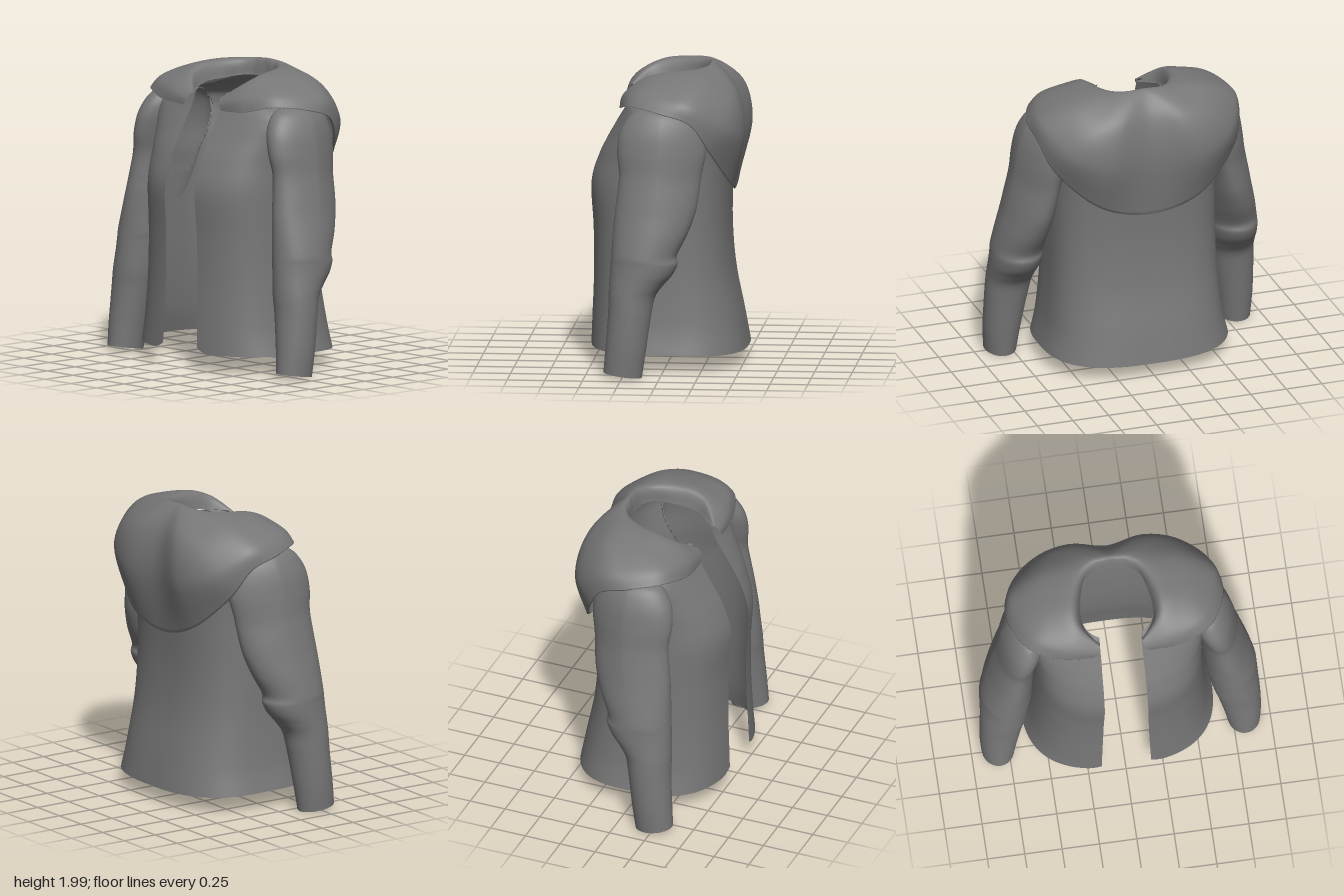
import * as THREE from 'three';
import { mergeVertices } from 'three/addons/utils/BufferGeometryUtils.js';

// Smooth interpolation through rows of numbers, t from 0 to 1
function spline(rows, t) {
  const f = t * (rows.length - 1);
  const i = Math.min(Math.floor(f), rows.length - 2), k = f - i;
  const at = (n) => rows[Math.min(Math.max(n, 0), rows.length - 1)];
  const [a, b, c, d] = [at(i - 1), at(i), at(i + 1), at(i + 2)];
  return b.map((p, n) => p + 0.5 * k * (c[n] - a[n]
    + k * (2 * a[n] - 5 * p + 4 * c[n] - d[n] + k * (3 * (p - c[n]) + d[n] - a[n]))));
}

// Section of a table at a given height
function sectionAt(rows, y) {
  let lo = 0, hi = 1;
  for (let n = 0; n < 14; n++) {
    const mid = (lo + hi) / 2;
    if (spline(rows, mid)[0] < y) lo = mid; else hi = mid;
  }
  return spline(rows, lo);
}

// Smooth sheet from a rule point(u, v); faces whose centre is hidden are left out
function sheet(nu, nv, point, flip = false, hidden = () => false) {
  const pts = [], idx = [];
  for (let j = 0; j <= nv; j++)
    for (let i = 0; i <= nu; i++) pts.push(point(i / nu, j / nv));
  for (let j = 0; j < nv; j++)
    for (let i = 0; i < nu; i++) {
      const a = j * (nu + 1) + i, b = a + 1, c = a + nu + 1, d = c + 1;
      if (hidden(...[0, 1, 2].map((n) => (pts[a][n] + pts[d][n]) / 2))) continue;
      idx.push(...(flip ? [a, c, b, b, c, d] : [a, b, c, b, d, c]));
    }
  let g = new THREE.BufferGeometry();
  g.setAttribute('position', new THREE.Float32BufferAttribute(pts.flat(), 3));
  g.setIndex(idx);
  g = mergeVertices(g, 1e-5);
  g.computeVertexNormals();
  return g;
}

// Body sections: height, half width, front z, back z, half gap at the front
const BODY = [
  [0.12, 0.64, 0.52, -0.52, 0.165],
  [0.3, 0.602, 0.515, -0.485, 0.162],
  [0.6, 0.575, 0.505, -0.425, 0.155],
  [0.9, 0.565, 0.508, -0.4, 0.15],
  [1.2, 0.562, 0.522, -0.405, 0.145],
  [1.4, 0.565, 0.465, -0.42, 0.143],
  [1.55, 0.59, 0.385, -0.42, 0.142],
  [1.65, 0.61, 0.325, -0.41, 0.14],
  [1.72, 0.59, 0.285, -0.39, 0.14],
  [1.78, 0.47, 0.26, -0.35, 0.14],
  [1.82, 0.3, 0.25, -0.28, 0.14],
  [1.835, 0.245, 0.24, -0.245, 0.14],
];
const ROUND = 0.74;                                // below 1 is squarer than an ellipse

function bodyPoint(u, v) {
  const [y, w, zf, zb, gap] = spline(BODY, v);
  const start = Math.asin(Math.pow(gap / w, 1 / ROUND));
  const q = 1 - Math.abs(2 * u - 1);               // 0 at the opening, 1 at centre back
  const a = start + (Math.PI - start) * q;
  const s = Math.max(Math.sin(a), 0), c = Math.cos(a);
  const x = w * Math.pow(s, ROUND) * (u < 0.5 ? -1 : 1);
  const z = Math.pow(Math.abs(c), ROUND) * (c > 0 ? zf : zb);
  const hem = Math.max(0, 1 - v * 8), neck = Math.max(0, (v - 0.75) * 4);
  const back = Math.max(0, -c);
  const corner = 0.035 * Math.pow(Math.max(0, 1 - q / 0.05), 2);
  return [x, y + hem * (corner - 0.02 * back) + 0.04 * neck * back, z];
}

function insideBody(x, y, z) {
  if (y < 1.2 || y > 1.83) return false;
  const [, w, zf, zb] = sectionAt(BODY, y), n = 2 / ROUND;
  return Math.pow(Math.abs(x) / w, n) + Math.pow(z / (z > 0 ? zf : zb), n) < 0.96;
}

// Sleeve sections: height, inner x, outer x, back z, front z
const SLEEVE = [
  [0.022, 0.715, 0.93, 0.12, 0.375],
  [0.2, 0.69, 0.94, 0.092, 0.362],
  [0.42, 0.652, 0.938, 0.06, 0.347],
  [0.54, 0.628, 0.933, 0.035, 0.345],
  [0.62, 0.612, 0.93, -0.02, 0.342],
  [0.69, 0.598, 0.928, -0.08, 0.338],
  [0.76, 0.588, 0.925, -0.112, 0.334],
  [0.82, 0.58, 0.92, -0.108, 0.33],
  [0.95, 0.57, 0.895, -0.172, 0.322],
  [1.08, 0.562, 0.865, -0.22, 0.312],
  [1.18, 0.558, 0.845, -0.24, 0.3],
  [1.34, 0.55, 0.812, -0.26, 0.285],
  [1.48, 0.52, 0.793, -0.285, 0.3],
  [1.6, 0.49, 0.77, -0.28, 0.29],
  [1.69, 0.48, 0.735, -0.25, 0.25],
  [1.75, 0.5, 0.69, -0.18, 0.19],
  [1.79, 0.54, 0.62, -0.06, 0.08],
];
// The back of the upper arm leans in toward the body
const lean = (y, dz) => 0.22 * Math.min(0, dz) * Math.min(1, Math.max(0, (y - 0.8) * 2));

const sleevePoint = (side) => (u, v) => {
  const [y, x0, x1, z0, z1] = spline(SLEEVE, v);
  const a = u === 1 ? 0 : u * Math.PI * 2;
  const dz = Math.cos(a) * (z1 - z0) / 2;
  const x = (x0 + x1) / 2 + Math.sin(a) * (x1 - x0) / 2 + lean(y, dz);
  const tilt = 0.15 * Math.max(0, 1 - y / 0.3);    // cuff rises toward the front
  return [side * x, y + tilt * dz, (z0 + z1) / 2 + dz];
};

function insideSleeve(x, y, z) {
  if (y < 1.2 || y > 1.78) return false;
  const [, x0, x1, z0, z1] = sectionAt(SLEEVE, y);
  const dz = z - (z0 + z1) / 2;
  const dx = Math.abs(x) - lean(y, dz) - (x0 + x1) / 2;
  return Math.hypot(2 * dx / (x1 - x0), 2 * dz / (z1 - z0)) < 0.96;
}

// Hood ribs from front to centre back: inner lip, crest, middle, outer, lower edge
const HOOD = [
  [0.14, 1.8, 0.25, 0.142, 1.81, 0.275, 0.148, 1.785, 0.3, 0.16, 1.76, 0.312, 0.185, 1.727, 0.315],
  [0.22, 1.82, 0.15, 0.255, 1.905, 0.17, 0.32, 1.875, 0.235, 0.36, 1.815, 0.29, 0.4, 1.74, 0.305],
  [0.24, 1.85, 0.05, 0.29, 1.955, 0.06, 0.45, 1.92, 0.1, 0.56, 1.86, 0.18, 0.61, 1.785, 0.22],
  [0.22, 1.86, -0.08, 0.27, 1.972, -0.08, 0.49, 1.932, -0.08, 0.66, 1.845, -0.04, 0.72, 1.755, 0.01],
  [0.19, 1.87, -0.17, 0.21, 1.98, -0.2, 0.46, 1.925, -0.25, 0.665, 1.8, -0.22, 0.71, 1.68, -0.19],
  [0.12, 1.88, -0.22, 0.13, 1.99, -0.27, 0.39, 1.84, -0.41, 0.55, 1.64, -0.42, 0.62, 1.48, -0.31],
  [0.06, 1.88, -0.235, 0.06, 1.995, -0.28, 0.22, 1.83, -0.46, 0.31, 1.55, -0.512, 0.35, 1.24, -0.42],
  [0, 1.88, -0.24, 0, 1.998, -0.28, 0, 1.84, -0.415, 0, 1.55, -0.468, 0, 1.15, -0.43],
];
const mirrored = HOOD.map((r) => r.map((n, i) => (i % 3 === 0 ? -n : n)));
const RIBS = [...mirrored, ...HOOD.slice(0, -1).reverse()];

function hoodPoint(u, v) {
  const r = spline(RIBS, u);
  const pts = [0, 3, 6, 9, 12].map((i) => r.slice(i, i + 3));
  if (v <= 0.95) return spline(pts, v / 0.95);
  const k = (v - 0.95) / 0.05, [x, y, z] = pts[4]; // edge turned under toward the body
  return [x * (1 - 0.03 * k), y + 0.012 * k, z * (1 - 0.03 * k)];
}

export function createModel() {
  const cloth = new THREE.MeshStandardMaterial({ color: 0x777777, side: THREE.DoubleSide });
  cloth.name = 'grey cloth';
  const group = new THREE.Group();
  group.name = 'hoodedJacket';
  const add = (name, geometry) => {
    const mesh = new THREE.Mesh(geometry, cloth);
    mesh.name = name;
    group.add(mesh);
  };
  // Armholes are open where body and sleeves meet
  add('body', sheet(200, 110, bodyPoint, true, insideSleeve));
  add('leftSleeve', sheet(72, 140, sleevePoint(1), false, insideBody));
  add('rightSleeve', sheet(72, 140, sleevePoint(-1), true, insideBody));
  add('hood', sheet(112, 40, hoodPoint));
  return group;
}
